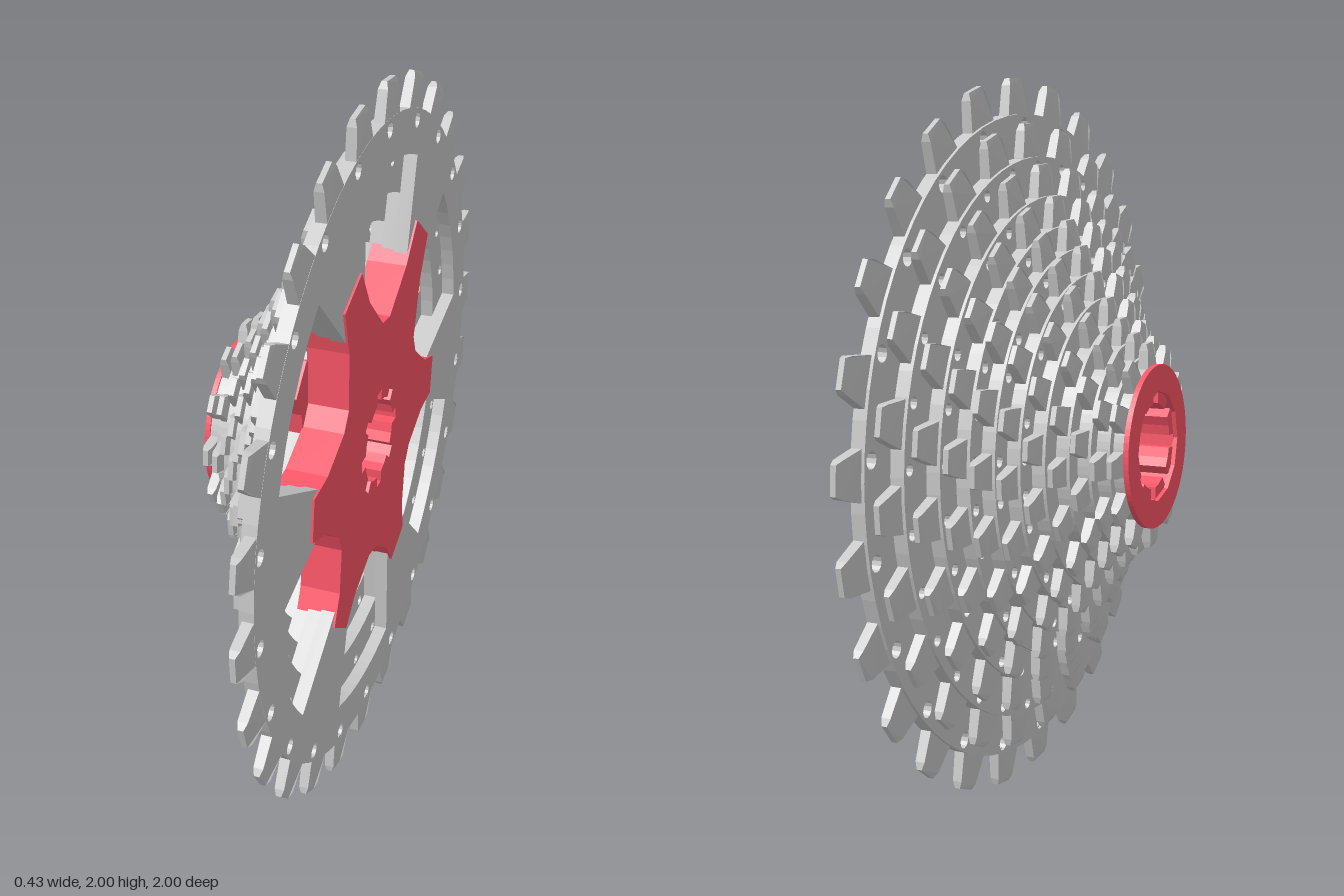
import * as THREE from 'three';
import { mergeGeometries } from 'three/addons/utils/BufferGeometryUtils.js';

const DEG = Math.PI / 180;
const grey = new THREE.MeshStandardMaterial({ color: 0xcccccc, flatShading: true });
const red = new THREE.MeshStandardMaterial({ color: 0xff5769, flatShading: true });

// Point at radius r, angle a clockwise from the top
const polar = (r, a) => new THREE.Vector2(r * Math.sin(a), r * Math.cos(a));

// Counter-clockwise outline from points listed clockwise
const outline = pts => new THREE.Shape(pts.reverse());

const disc = r => outline(Array.from({ length: 78 }, (_, i) => polar(r, (i * Math.PI) / 39)));

const circleHole = (x, y, r) => new THREE.Path().absarc(x, y, r, 0, Math.PI * 2, true);

// Slab between two positions along the axle
function slab(shape, from, to) {
  const geo = new THREE.ExtrudeGeometry(shape, { depth: to - from, bevelEnabled: false, curveSegments: 6 });
  return geo.translate(0, 0, from);
}

// Splined bore: round with eight square notches
function splineBore() {
  const pts = [];
  for (let i = 0; i < 8; i++) {
    const a = (i * 45 - 3) * DEG;
    pts.push(polar(0.12, a - 0.15), polar(0.153, a - 0.12), polar(0.153, a + 0.12), polar(0.12, a + 0.15),
      polar(0.12, a + 0.39));
  }
  return new THREE.Path(pts);
}

// Tapered window cut between two spokes
function windowHole(outer, half, angle) {
  const inner = 0.345, innerHalf = 0.165;
  const spread = Math.asin(half / outer);
  const pts = [new THREE.Vector2(-innerHalf, inner)];
  for (let k = 0; k <= 8; k++) pts.push(polar(outer, -spread + (2 * spread * k) / 8));
  pts.push(new THREE.Vector2(innerHalf, inner));
  pts.forEach(p => p.rotateAround(new THREE.Vector2(), -angle));
  return new THREE.Path(pts);
}

// Ring of teeth, each thinned toward its tip
function teethGeometry(tip, root, count) {
  const pitch = (Math.PI * 2) / count;
  const base = root - 0.012, shoulder = tip - 0.018;
  const shape = outline([polar(base, -0.3 * pitch), polar(root, -0.29 * pitch), polar(shoulder, -0.19 * pitch),
    polar(tip, -0.15 * pitch), polar(tip, 0.15 * pitch), polar(shoulder, 0.19 * pitch),
    polar(root, 0.29 * pitch), polar(base, 0.3 * pitch)]);
  const tooth = slab(shape, -0.0145, 0.0145);
  const pos = tooth.attributes.position;
  for (let i = 0; i < pos.count; i++) {
    const r = Math.hypot(pos.getX(i), pos.getY(i));
    if (r > tip - 0.002) pos.setZ(i, pos.getZ(i) * 0.5);
    else if (r > shoulder - 0.002) pos.setZ(i, pos.getZ(i) * 0.9);
  }
  const teeth = [];
  for (let i = 0; i < count; i++) teeth.push(tooth.clone().rotateZ(-(i * pitch + 3.5 * DEG)));
  return mergeGeometries(teeth);
}

// Six-armed carrier plate with concave valleys
function carrierShape(tips, phase, valley) {
  const pts = [];
  tips.forEach((tip, k) => {
    const a = (phase + 60 * k) * DEG;
    const mid = valley + (tip - valley) * 0.5;
    for (const [r, d] of [[valley, -25], [mid, -10.5], [tip, -6.6], [tip, 6.6], [mid, 10.5], [valley, 25]]) {
      pts.push(polar(r, a + d * DEG));
    }
  });
  const shape = outline(pts);
  shape.holes.push(splineBore());
  return shape;
}

export function createModel() {
  const model = new THREE.Group();
  model.name = 'sprocketCassette';
  const cassette = new THREE.Group();
  cassette.name = 'cassette';
  const add = (name, geo, mat) => {
    const mesh = new THREE.Mesh(geo, mat);
    mesh.name = name;
    cassette.add(mesh);
  };

  // Sprockets from smallest to largest: a body that reaches the next smaller one, plus teeth
  const tips = [0.29, 0.315, 0.355, 0.41, 0.48, 0.55, 0.62, 0.685, 0.77, 0.88, 1.0];
  const teeth = [12, 12, 14, 16, 18, 20, 21, 22, 23, 24, 26];
  const roots = tips.map(t => t * 0.96 - 0.055);
  tips.forEach((tip, i) => {
    const x = -0.188 + i * 0.0378;
    const last = i === 10;
    const body = disc(roots[i]);
    body.holes.push(circleHole(0, 0, 0.19));
    // Larger bodies are pierced by small holes and six windows
    if (i > 4) {
      const holes = last ? 22 : 30;
      for (let h = 0; h < holes; h++) {
        const p = polar(roots[i] - (last ? 0.03 : 0.026), (2.5 + (h * 360) / holes) * DEG);
        body.holes.push(circleHole(p.x, p.y, last ? 0.022 : 0.016));
      }
      for (let k = 0; k < 6; k++) {
        body.holes.push(windowHole(roots[i - 1] - 0.005, 0.225 - (10 - i) * 0.008, (5.5 + 60 * k) * DEG));
      }
    }
    add('sprocketBody' + (i + 1), slab(body, x - (i ? 0.0228 : 0.015), x + 0.015), grey);
    add('sprocketTeeth' + (i + 1), teethGeometry(tip, roots[i], teeth[i]).translate(0, 0, x), grey);
  });

  // Splined hub sleeve
  const hub = disc(0.205);
  hub.holes.push(splineBore());
  add('hub', slab(hub, -0.206, 0.1), red);

  // Lock ring on the small end
  const ring = disc(0.228);
  ring.holes.push(circleHole(0, 0, 0.155));
  add('lockRing', slab(ring, -0.218, -0.203), red);

  // Carriers that hold the larger sprockets
  add('innerCarrier', slab(carrierShape(Array(6).fill(0.455), 15.5, 0.32), 0.02, 0.1), red);
  add('outerCarrier', slab(carrierShape([0.615, 0.535, 0.535, 0.535, 0.535, 0.605], 35.8, 0.355), 0.098, 0.211), red);

  // Axle along x, resting on the ground
  cassette.rotation.y = Math.PI / 2;
  cassette.position.y = 1;
  model.add(cassette);
  return model;
}
